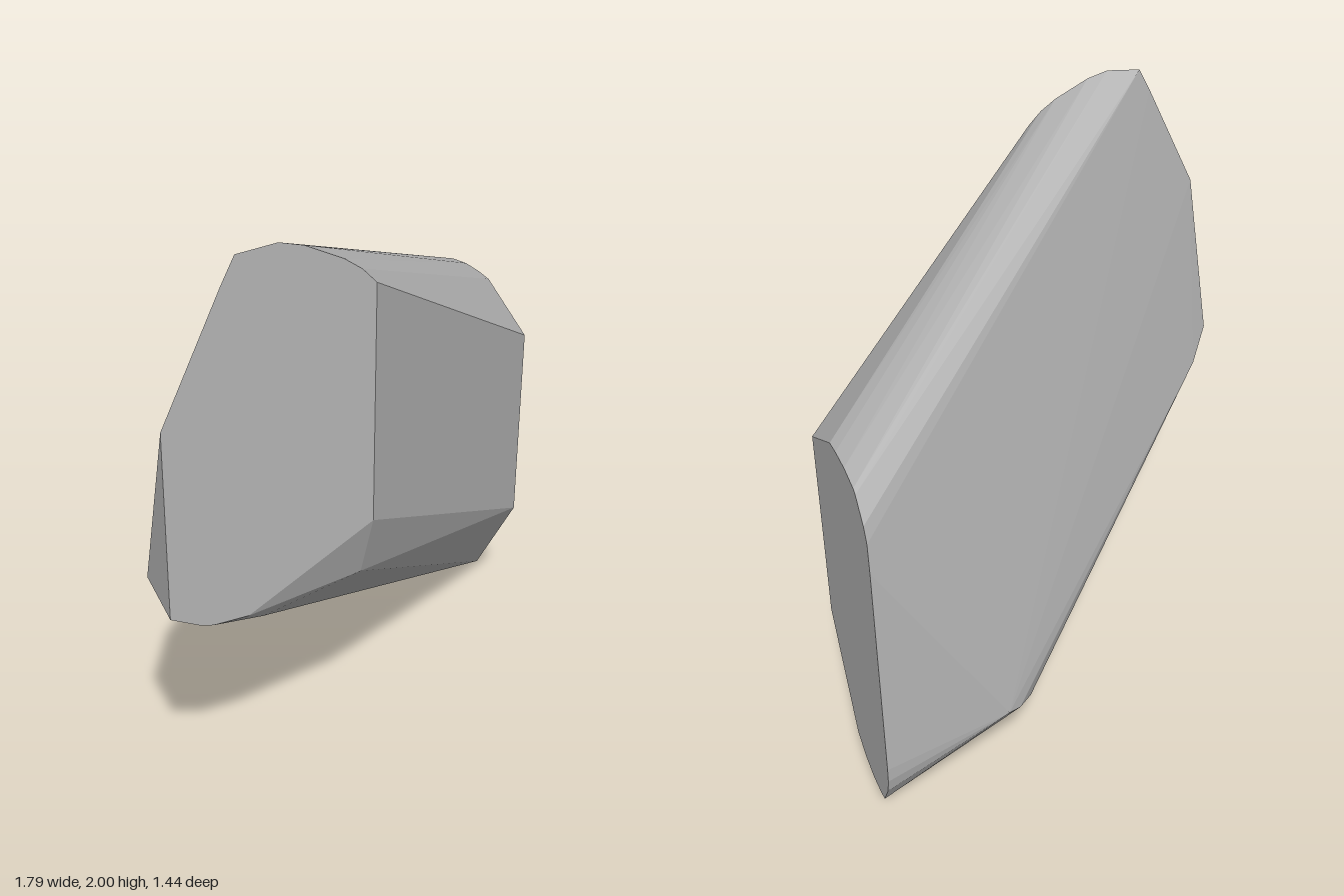
import * as THREE from 'three';
import { ConvexGeometry } from 'three/addons/geometries/ConvexGeometry.js';

// Slanted faceted block: the convex solid spanning a front face, an end face and a few bevel corners
export function createModel() {
  const group = new THREE.Group();
  group.name = 'slantedBlock';
  const grey = new THREE.MeshStandardMaterial({ color: 0xb4b4b4 });
  grey.name = 'stone grey';

  // outline of the flat front face (x, y)
  const front = [
    [-0.9, 0.86], [-0.9, 1.49], [-0.7, 1.9], [-0.655, 1.985], [-0.52, 2], [-0.44, 1.98],
    [-0.31, 1.92], [-0.25, 1.88], [-0.2, 1.83], [-0.2, 1.03], [-0.64, 0.8], [-0.76, 0.8], [-0.8, 0.81],
  ].map(([x, y]) => new THREE.Vector3(x, y, 0.72));

  // outline of the flat end face (z, y)
  const end = [
    [-0.06, 1.19], [-0.33, 1.335], [-0.4, 1.345], [-0.5, 1.35], [-0.6, 1.34], [-0.62, 1.33],
    [-0.69, 1.26], [-0.715, 1.21], [-0.72, 1.1], [-0.72, 0.25], [-0.715, 0.19], [-0.7, 0.13],
    [-0.64, 0.03], [-0.6, 0.015], [-0.5, 0], [-0.4, 0.01], [-0.31, 0.045], [-0.06, 0.43],
  ].map(([z, y]) => new THREE.Vector3(0.895, y, z));

  // bevel corners along the underside and the back
  const bevel = [
    [-0.2, 0.8, 0.64], [-0.57, 0.75, 0.67],
    [-0.9, 0.91, 0.53], [-0.8, 0.82, 0.42],
    [0.455, 0.35, -0.72], [0.4, 0.32, -0.68], [0.33, 0.28, -0.6],
  ].map((p) => new THREE.Vector3(...p));

  const block = new THREE.Mesh(new ConvexGeometry([...front, ...end, ...bevel]), grey);
  block.name = 'block';
  group.add(block);
  return group;
}
